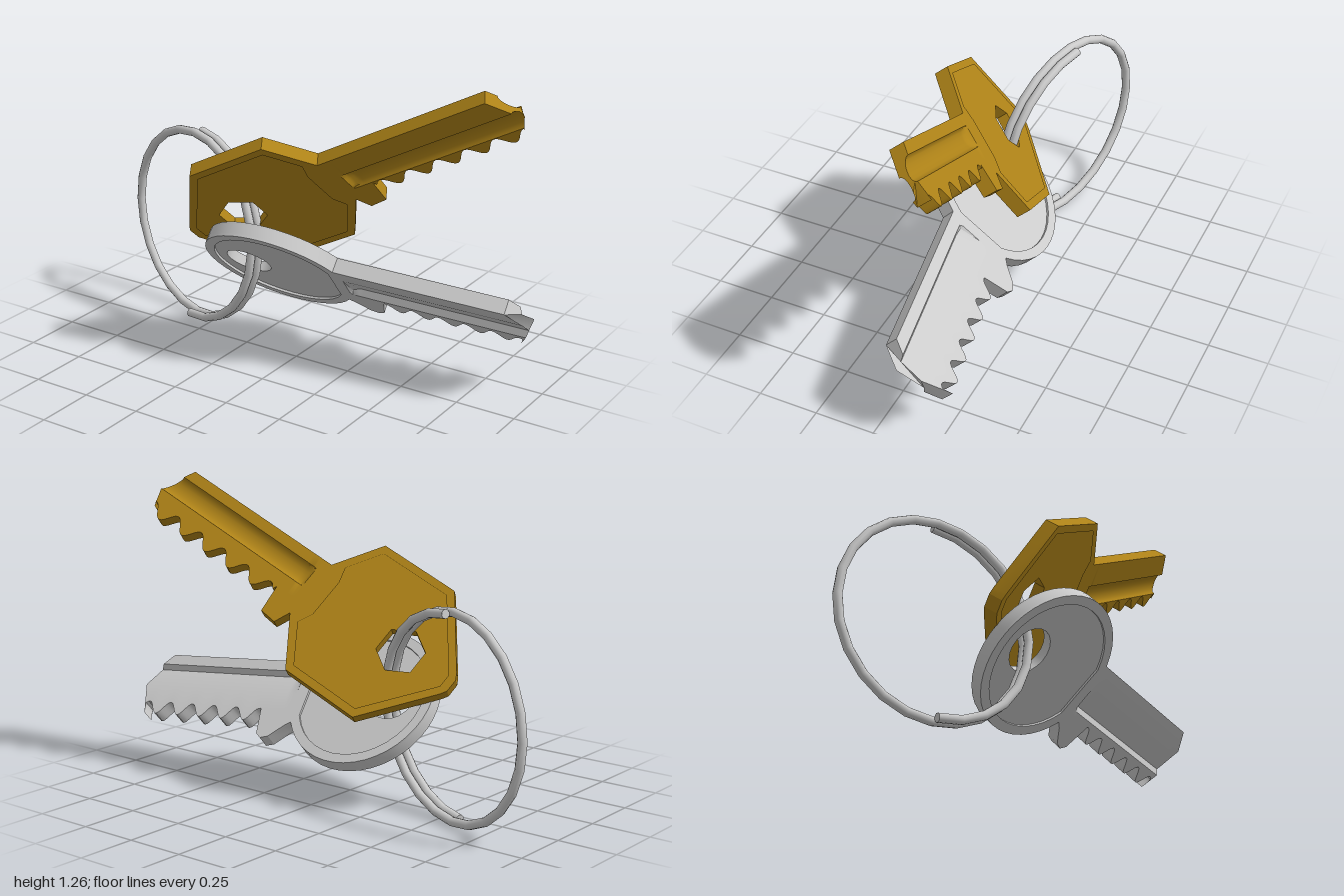
import * as THREE from 'three';
import { toCreasedNormals } from 'three/addons/utils/BufferGeometryUtils.js';

const V3 = (a) => new THREE.Vector3(...a);
const V2 = (list) => list.map(([a, b]) => new THREE.Vector2(a, b));

// points of a circular arc
function arc(cx, cy, r, a0, a1, n) {
  const pts = [];
  for (let i = 0; i <= n; i++) {
    const a = a0 + ((a1 - a0) * i) / n;
    pts.push([cx + r * Math.cos(a), cy + r * Math.sin(a)]);
  }
  return pts;
}

// linear interpolation through [x, y] pairs sorted by x
function lerpTable(table, x) {
  if (x <= table[0][0]) return table[0][1];
  for (let i = 1; i < table.length; i++) {
    const [x0, y0] = table[i - 1], [x1, y1] = table[i];
    if (x <= x1) return y0 + ((y1 - y0) * (x - x0)) / (x1 - x0);
  }
  return table[table.length - 1][1];
}

// flat plate with one hole, from z0 to z1
function plate(outline, hole, z0, z1) {
  const shape = new THREE.Shape(V2(outline));
  shape.holes.push(new THREE.Path(V2(hole)));
  const geo = new THREE.ExtrudeGeometry(shape, { depth: z1 - z0, bevelEnabled: false });
  geo.translate(0, 0, z0);
  return toCreasedNormals(geo, 0.5);
}

// grooved blade: cross-sections swept along the key, toothed below, cut to a tip
function blade({ start, end, top, bottom, tip, front, back, thick }) {
  const pos = [], idx = [], steps = 84;
  let last;
  const n = front.length + back.length + 4;
  for (let i = 0; i <= steps; i++) {
    const s = start + ((end - start) * i) / steps;
    const k = Math.sqrt(Math.min(1, (s - start) / 0.04)); // grooves run out at the head
    const b = bottom(s);
    last = [
      [top, thick], ...front.map(([t, d]) => [t, thick - d * k]), [b, thick],
      [b, 0], ...back.map(([t, d]) => [t, d * k]), [top, 0],
    ];
    last.forEach(([t, z]) => pos.push(Math.min(s, lerpTable(tip, t)), t, z));
  }
  for (let i = 0; i < steps; i++) {
    for (let j = 0; j < n; j++) {
      const a = i * n + j, b = i * n + ((j + 1) % n);
      idx.push(a, b, b + n, a, b + n, a + n);
    }
  }
  THREE.ShapeUtils.triangulateShape(V2(last), []).forEach((f) =>
    idx.push(...f.map((v) => v + steps * n)));
  const geo = new THREE.BufferGeometry();
  geo.setAttribute('position', new THREE.Float32BufferAttribute(pos, 3));
  geo.setIndex(idx);
  return toCreasedNormals(geo, 0.6);
}

// head plate with a raised rim on both faces, plus the blade, set in its plane
function makeKey(name, color, { u, v, offset, outline, hole, panel, rim, bladeSpec }) {
  const key = new THREE.Group();
  key.name = name;
  const mat = new THREE.MeshStandardMaterial({ color });
  const add = (part, geo) => {
    const mesh = new THREE.Mesh(geo, mat);
    mesh.name = part;
    key.add(mesh);
  };
  const T = bladeSpec.thick;
  add('head', plate(outline, hole, rim, T - rim));
  add('frontRim', plate(outline, panel, T - rim, T));
  add('backRim', plate(outline, panel, 0, rim));
  add('blade', blade(bladeSpec));

  const U = V3(u).normalize();
  const N = U.clone().cross(V3(v)).normalize();
  const W = N.clone().cross(U);
  key.quaternion.setFromRotationMatrix(new THREE.Matrix4().makeBasis(U, W, N));
  key.position.copy(N).multiplyScalar(offset);
  return key;
}

const wave = (s, peak, period) => 0.5 + 0.5 * Math.cos((2 * Math.PI * (s - peak)) / period);

// rounded groove between two heights
function roundGroove(t0, t1, depth) {
  const pts = [];
  for (let i = 0; i <= 8; i++) {
    pts.push([t0 + ((t1 - t0) * (1 - Math.cos((Math.PI * i) / 8))) / 2, depth * Math.sin((Math.PI * i) / 8)]);
  }
  return pts;
}

function brassKey() {
  return makeKey('brassKey', 0xb08418, {
    u: [0.883, 0.451, -0.128],
    v: [-0.258, 0.697, 0.668],
    offset: -0.44,
    outline: [
      [0.04, 0.828], [0.392, 0.825], [0.52, 0.632], [0.56, 0.632], [0.56, 0.43], [0.645, 0.43],
      [0.63, 0.31], [0.555, 0.303], [0.526, 0.37], [0.385, 0.171], [0.04, 0.173],
      [-0.18, 0.45], [-0.195, 0.475], [-0.195, 0.53], [-0.18, 0.556],
    ],
    hole: arc(0.06, 0.503, 0.1, Math.PI / 2, Math.PI * 2.5, 6).slice(0, 6),
    panel: [
      [0.055, 0.795], [0.375, 0.793], [0.465, 0.655], [0.445, 0.59], [0.445, 0.42],
      [0.475, 0.36], [0.368, 0.205], [0.055, 0.207], [-0.16, 0.475], [-0.16, 0.53],
    ],
    rim: 0.006,
    bladeSpec: {
      start: 0.56, end: 1.345, top: 0.632, thick: 0.06,
      bottom: (s) => (s < 0.65 ? 0.43 : 0.432 - 0.058 * wave(s, 0.743, 0.128)),
      tip: [[0.4, 1.305], [0.43, 1.32], [0.47, 1.345], [0.5, 1.34], [0.632, 1.27]],
      front: roundGroove(0.53, 0.435, 0.028),
      back: roundGroove(0.49, 0.585, 0.024),
    },
  });
}

function steelKey() {
  const a = 0.487;
  return makeKey('steelKey', 0xcccccc, {
    u: [0.985, -0.07, -0.154],
    v: [0.158, 0.69, 0.706],
    offset: -0.324,
    outline: [
      ...arc(-0.106, 0.257, 0.317, a, Math.PI * 2 - a, 36),
      [0.2, 0.09], [0.255, 0.035], [0.29, 0.025], [0.315, 0.045], [0.34, 0.165], [0.2, 0.165], [0.2, 0.405],
    ],
    hole: arc(-0.24, 0.26, 0.097, 0, Math.PI * 2, 20).slice(0, 20),
    panel: arc(-0.106, 0.257, 0.277, 0.42, Math.PI * 2 - 0.42, 32),
    rim: 0.01,
    bladeSpec: {
      start: 0.2, end: 0.98, top: 0.405, thick: 0.063,
      bottom: (s) => (s < 0.345 ? 0.165 : 0.163 - 0.06 * wave(s, 0.405, 0.112)),
      tip: [[0.1, 0.91], [0.17, 0.935], [0.284, 0.98], [0.405, 0.885]],
      front: [[0.325, 0], [0.205, 0.026], [0.185, 0]],
      back: [[0.245, 0], [0.34, 0.024], [0.355, 0]],
    },
  });
}

// split ring: one and a half turns, doubled on the side that holds the keys
function splitRing() {
  const right = V3([0.956, 0, 0.294]);
  const up = V3([0.015, 0.998, -0.05]);
  const side = right.clone().cross(up).normalize();
  const pts = [];
  for (let i = 0; i <= 36; i++) {
    const f = i / 36;
    const a = Math.PI / 2 - f * Math.PI * 3;
    const w = -0.019 + 0.038 * THREE.MathUtils.smoothstep(f, 1 / 3, 2 / 3);
    pts.push(V3([-0.592, 0.428, -0.116])
      .addScaledVector(right, 0.41 * Math.cos(a))
      .addScaledVector(up, 0.41 * Math.sin(a))
      .addScaledVector(side, w));
  }
  const ring = new THREE.Group();
  ring.name = 'splitRing';
  const mat = new THREE.MeshStandardMaterial({ color: 0xcccccc });
  const curve = new THREE.CatmullRomCurve3(pts);
  const wire = new THREE.Mesh(new THREE.TubeGeometry(curve, 36, 0.0185, 10), mat);
  wire.name = 'ringWire';
  ring.add(wire);
  // flat ends of the wire
  [0, 1].forEach((t) => {
    const cap = new THREE.Mesh(new THREE.CircleGeometry(0.0185, 10), mat);
    cap.name = 'wireEnd';
    const dir = curve.getTangentAt(t).multiplyScalar(t ? 1 : -1);
    cap.quaternion.setFromUnitVectors(new THREE.Vector3(0, 0, 1), dir);
    cap.position.copy(curve.getPointAt(t));
    ring.add(cap);
  });
  return ring;
}

export function createModel() {
  const model = new THREE.Group();
  model.name = 'keyRing';
  model.add(brassKey(), steelKey(), splitRing());
  return model;
}
